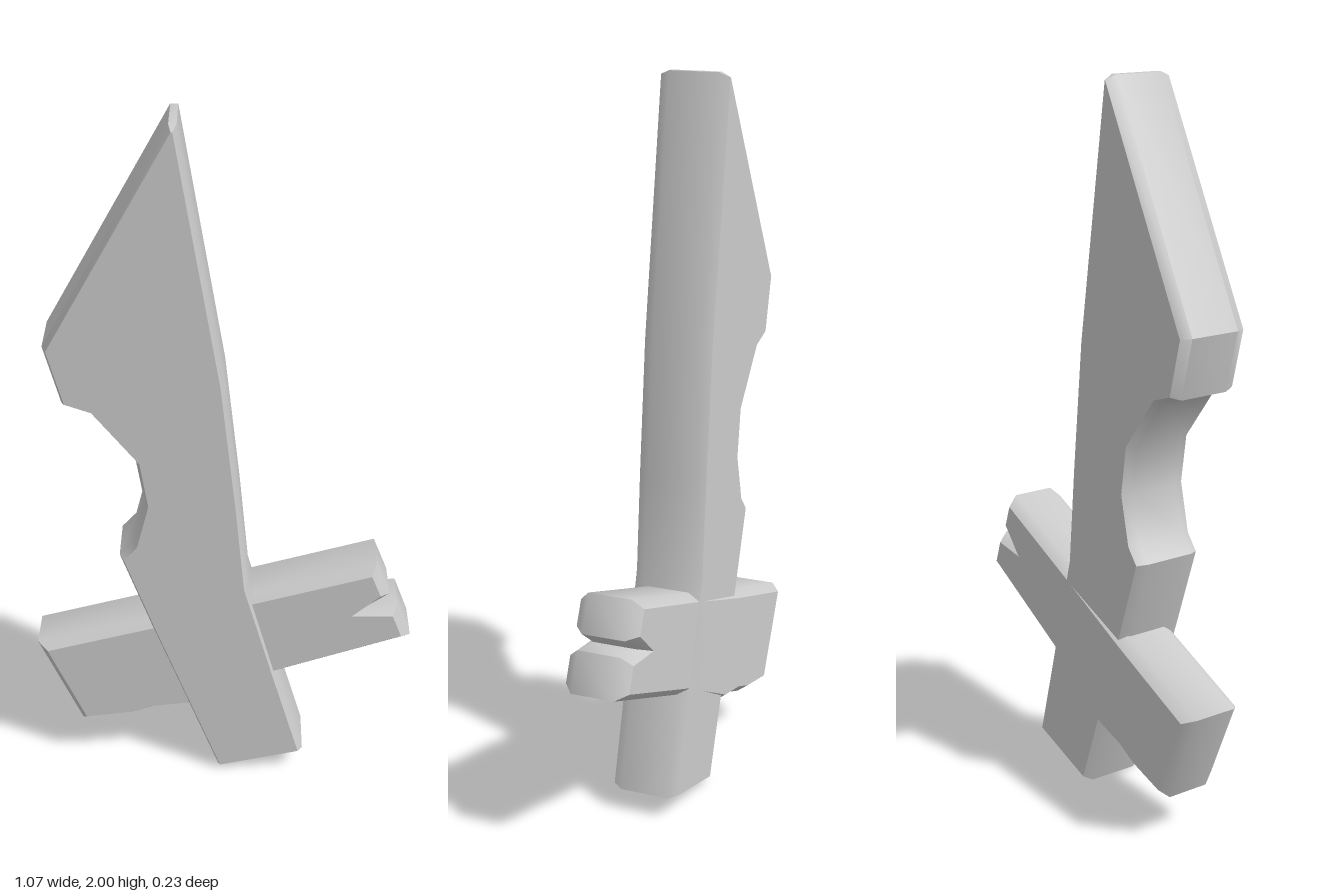
import * as THREE from 'three';
import { toCreasedNormals } from 'three/addons/utils/BufferGeometryUtils.js';

// Moves a counter-clockwise outline inwards by d, with limited mitres
function inset(pts, d) {
  const n = pts.length;
  return pts.map((p, i) => {
    const a = p.clone().sub(pts[(i + n - 1) % n]).normalize();
    const b = pts[(i + 1) % n].clone().sub(p).normalize();
    const m = new THREE.Vector2(-a.y - b.y, a.x + b.x).normalize();
    const cos = m.x * -a.y + m.y * a.x;
    return p.clone().addScaledVector(m, d / Math.max(cos, 0.45));
  });
}

// Plank from an outline: layers are [z, inset] from back to front,
// skew tilts the plank in depth along x
function plank(name, outline, layers, skew) {
  const pts = outline.map(([x, y]) => new THREE.Vector2(x, y));
  const n = pts.length;
  const pos = [], index = [];
  for (const [z, d] of layers) {
    for (const p of inset(pts, d)) pos.push(p.x, p.y, z + skew * p.x);
  }
  for (let k = 0; k < layers.length - 1; k++) {
    for (let i = 0; i < n; i++) {
      const j = (i + 1) % n;
      const a = k * n + i, b = k * n + j;
      index.push(a, b, b + n, a, b + n, a + n);
    }
  }
  const top = (layers.length - 1) * n;
  for (const [a, b, c] of THREE.ShapeUtils.triangulateShape(pts, [])) {
    index.push(c, b, a, top + a, top + b, top + c);
  }
  const geo = new THREE.BufferGeometry();
  geo.setAttribute('position', new THREE.Float32BufferAttribute(pos, 3));
  geo.setIndex(index);
  const mesh = new THREE.Mesh(
    toCreasedNormals(geo, 0.7),
    new THREE.MeshStandardMaterial({ color: 0xcccccc })
  );
  mesh.name = name;
  return mesh;
}

export function createModel() {
  const group = new THREE.Group();
  group.name = 'woodenSword';

  // Blade and grip carved from one board
  group.add(plank('bladeAndGrip', [
    [-0.015, 0.0], [0.235, 0.065], [0.155, 0.35], [0.07, 0.66], [0.045, 0.93],
    [0.005, 1.3], [-0.11, 2.0], [-0.13, 2.0], [-0.465, 1.4], [-0.422, 1.235],
    [-0.35, 1.21], [-0.232, 1.06], [-0.212, 0.93], [-0.245, 0.8],
    [-0.285, 0.755], [-0.2, 0.51],
  ], [[-0.088, 0.013], [-0.06, 0], [0.08, 0], [0.106, 0.011]], 0.02));

  // Cross guard with a split end, set slightly askew
  group.add(plank('crossGuard', [
    [-0.535, 0.415], [-0.415, 0.138], [-0.27, 0.165], [-0.2, 0.192], [-0.1, 0.21],
    [0.155, 0.345], [0.53, 0.495], [0.49, 0.6], [0.405, 0.588], [0.465, 0.635],
    [0.425, 0.735], [0.08, 0.62], [-0.2, 0.522],
  ], [[-0.09, 0.022], [-0.06, 0], [0.06, 0], [0.088, 0.022]], 0.056));

  return group;
}
